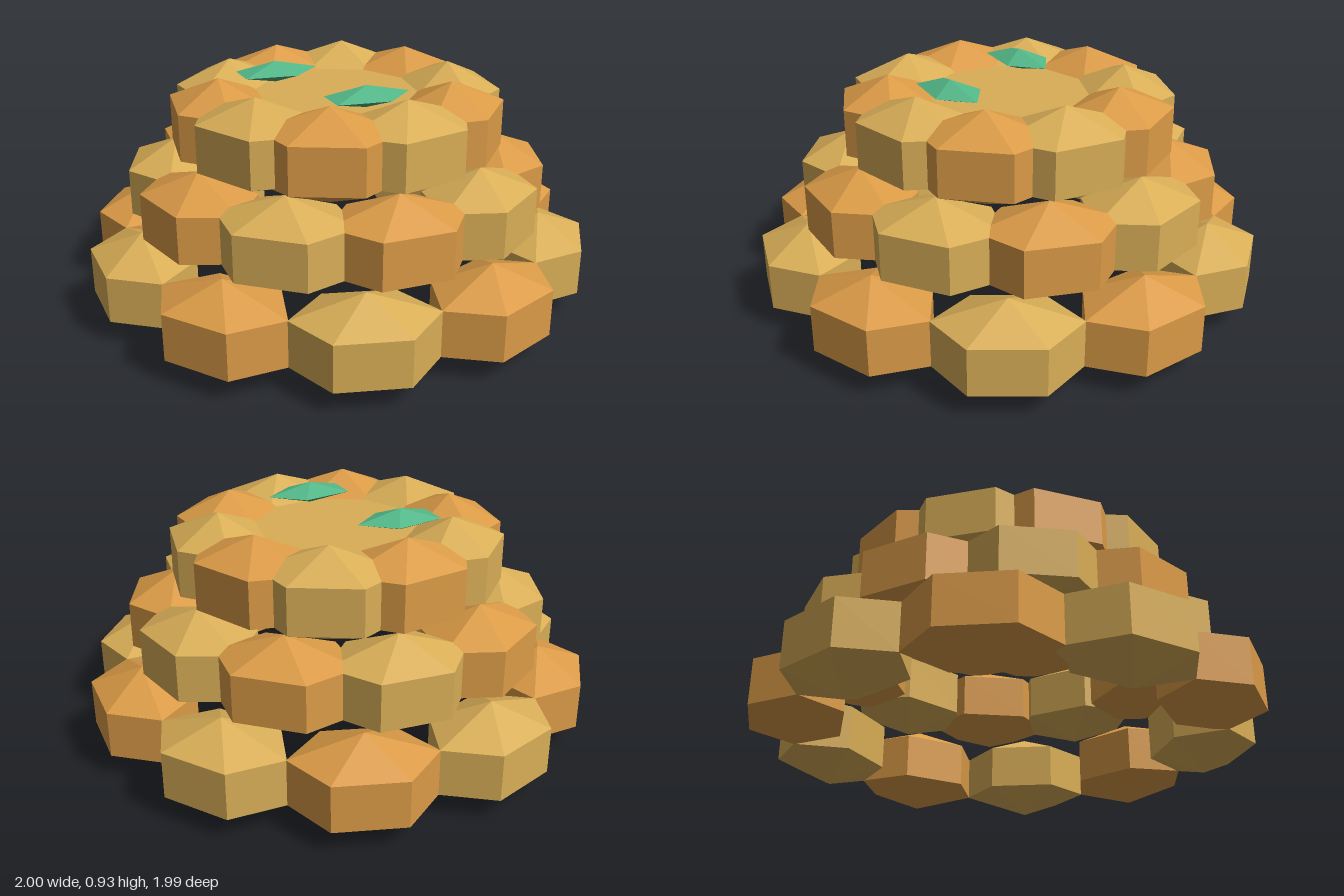
import * as THREE from 'three';

// Faceted spheroid with flat faces; rx, ry, rz are the sphere's semi-axes
function facetedStone(sides, rows, rx, ry, rz) {
  const geometry = new THREE.SphereGeometry(1, sides, rows).scale(rx, ry, rz).toNonIndexed();
  geometry.computeVertexNormals();
  return geometry;
}

export function createModel() {
  const orange = new THREE.MeshStandardMaterial({ color: 0xdb9b47 });
  orange.name = 'orange';
  const gold = new THREE.MeshStandardMaterial({ color: 0xd9ae57 });
  gold.name = 'gold';
  const green = new THREE.MeshStandardMaterial({ color: 0x52b788 });
  green.name = 'leafGreen';

  const model = new THREE.Group();
  model.name = 'tieredRings';

  const add = (parent, name, geometry, material, x, y, z, turn = 0) => {
    const mesh = new THREE.Mesh(geometry, material);
    mesh.name = name;
    mesh.position.set(x, y, z);
    mesh.rotation.y = turn;
    parent.add(mesh);
  };

  // Three shrinking rings of ten six-sided pieces, each ring twisted by 0.4 rad
  const piece = facetedStone(6, 3, 0.312, 0.184, 0.233);
  const count = 10;
  ['bottomRing', 'middleRing', 'topRing'].forEach((name, tier) => {
    const ring = new THREE.Group();
    ring.name = name;
    const radius = 0.825 - tier * 0.177;
    for (let i = 0; i < count; i++) {
      const angle = (i / count) * Math.PI * 2 + tier * 0.4;
      add(ring, 'ringPiece', piece, i % 2 ? gold : orange,
        Math.cos(angle) * radius, 0.187 + tier * 0.275, Math.sin(angle) * radius,
        Math.PI / 2 - angle);
    }
    model.add(ring);
  });

  // Flat centre filling the top ring
  const disc = new THREE.CylinderGeometry(0.42, 0.42, 0.13, 12).toNonIndexed();
  disc.computeVertexNormals();
  add(model, 'topDisc', disc, gold, 0, 0.77, 0);

  // Two five-sided leaves pointing to +x
  const leaf = facetedStone(5, 2, 0.182, 0.043, 0.106);
  add(model, 'backLeaf', leaf, green, -0.184, 0.887, -0.19, Math.PI);
  add(model, 'frontLeaf', leaf, green, -0.002, 0.887, 0.27, Math.PI);

  return model;
}
